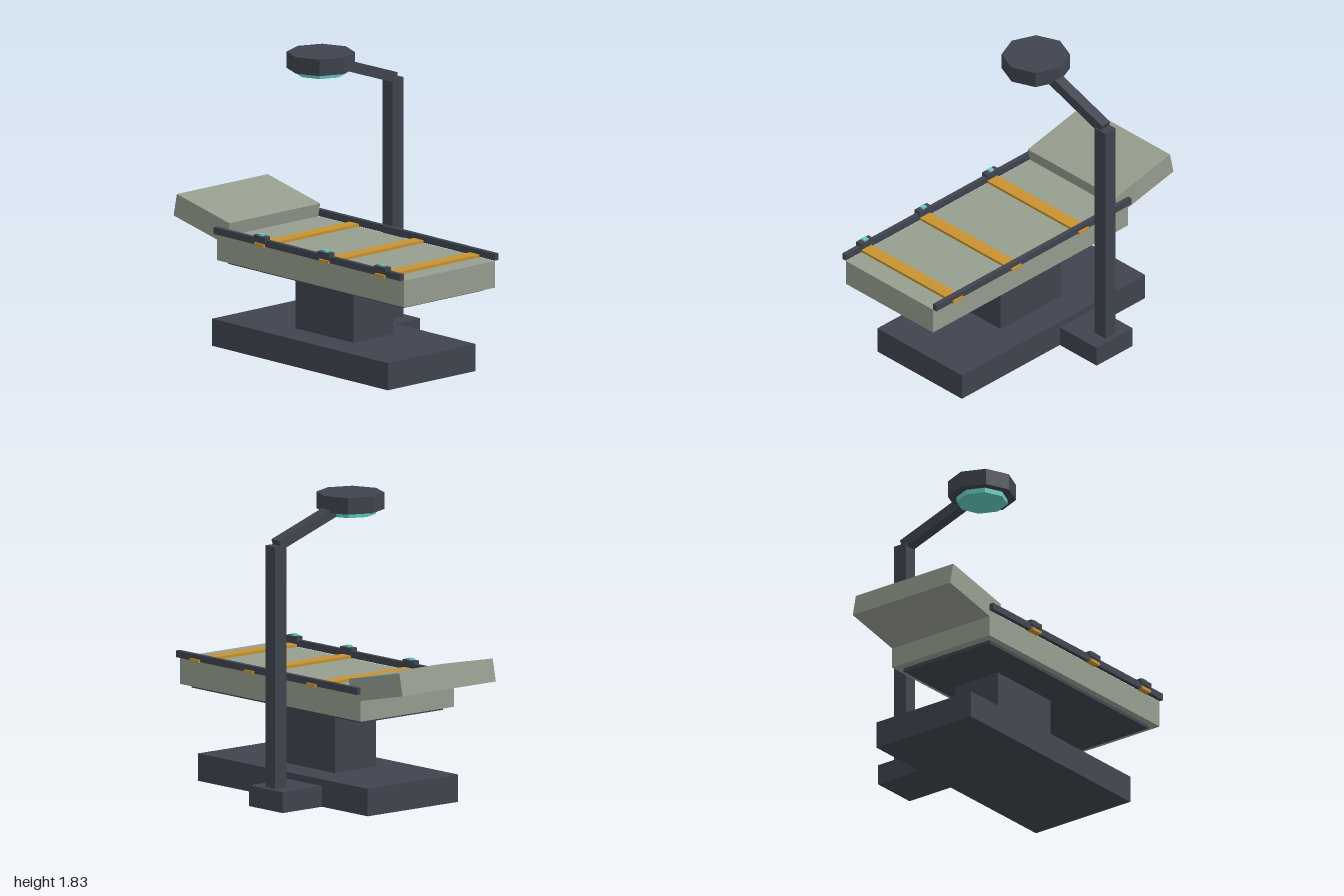
import * as THREE from 'three';

const paint = (name, color) => {
  const m = new THREE.MeshStandardMaterial({ color, flatShading: true });
  m.name = name;
  return m;
};

export function createModel() {
  const frame = paint('darkFrame', 0x3f444e);
  const padding = paint('greyGreenPadding', 0x969e8f);
  const webbing = paint('amberStrap', 0xc8922e);
  const glow = paint('tealLight', 0x62ccc0);

  const model = new THREE.Group();
  model.name = 'examinationTable';

  const add = (name, geometry, material, x, y, z) => {
    const mesh = new THREE.Mesh(geometry, material);
    mesh.name = name;
    mesh.position.set(x, y, z);
    model.add(mesh);
    return mesh;
  };
  // Box given by its lower and upper limits on each axis
  const box = (name, material, [x0, x1], [y0, y1], [z0, z1]) =>
    add(name, new THREE.BoxGeometry(x1 - x0, y1 - y0, z1 - z0), material,
      (x0 + x1) / 2, (y0 + y1) / 2, (z0 + z1) / 2);

  // Pedestal
  box('base', frame, [-0.73, 0.795], [0, 0.165], [-0.25, 0.46]);
  box('column', frame, [-0.22, 0.285], [0.165, 0.53], [-0.06, 0.262]);
  box('underPlate', frame, [-0.575, 0.947], [0.53, 0.55], [-0.17, 0.477]);

  // Padded bed and raised headrest
  box('mattress', padding, [-0.625, 1], [0.55, 0.712], [-0.214, 0.519]);
  add('headrest', new THREE.BoxGeometry(0.467, 0.138, 0.733), padding,
    -0.759, 0.774, 0.1525).rotation.z = -0.209;

  // Side rails
  box('frontRail', frame, [-0.625, 1], [0.714, 0.755], [0.519, 0.546]);
  box('backRail', frame, [-0.625, 1], [0.714, 0.755], [-0.243, -0.214]);

  // Straps, each with a buckle and indicator light on the front rail
  for (const x of [-0.22, 0.34, 0.827]) {
    box('strap', webbing, [x - 0.041, x + 0.041], [0.71, 0.728], [-0.254, 0.558]);
    box('buckle', frame, [x - 0.05, x + 0.05], [0.742, 0.774], [0.512, 0.556]);
    box('buckleLight', glow, [x - 0.016, x + 0.016], [0.774, 0.785], [0.519, 0.549]);
  }

  // Lamp stand
  const lampX = -0.17, postZ = -0.48, lampZ = 0.103;
  box('lampFoot', frame, [-0.32, -0.02], [0, 0.125], [-0.56, -0.25]);
  box('lampPost', frame, [lampX - 0.043, lampX + 0.043], [0.125, 1.58],
    [postZ - 0.045, postZ + 0.045]);

  // Sloping arm from the post top to the lamp centre
  const start = new THREE.Vector3(lampX, 1.583, postZ + 0.003);
  const end = new THREE.Vector3(lampX, 1.785, lampZ);
  const mid = start.clone().lerp(end, 0.5);
  const arm = add('lampArm', new THREE.BoxGeometry(0.068, 0.064, start.distanceTo(end)),
    frame, mid.x, mid.y, mid.z);
  arm.rotation.x = -Math.atan2(end.y - start.y, end.z - start.z);

  // Octagonal lamp head with its light underneath
  add('lampHead', new THREE.CylinderGeometry(0.202, 0.202, 0.1, 8), frame, lampX, 1.78, lampZ);
  add('lampLight', new THREE.CylinderGeometry(0.152, 0.152, 0.03, 8), glow, lampX, 1.715, lampZ);

  return model;
}
